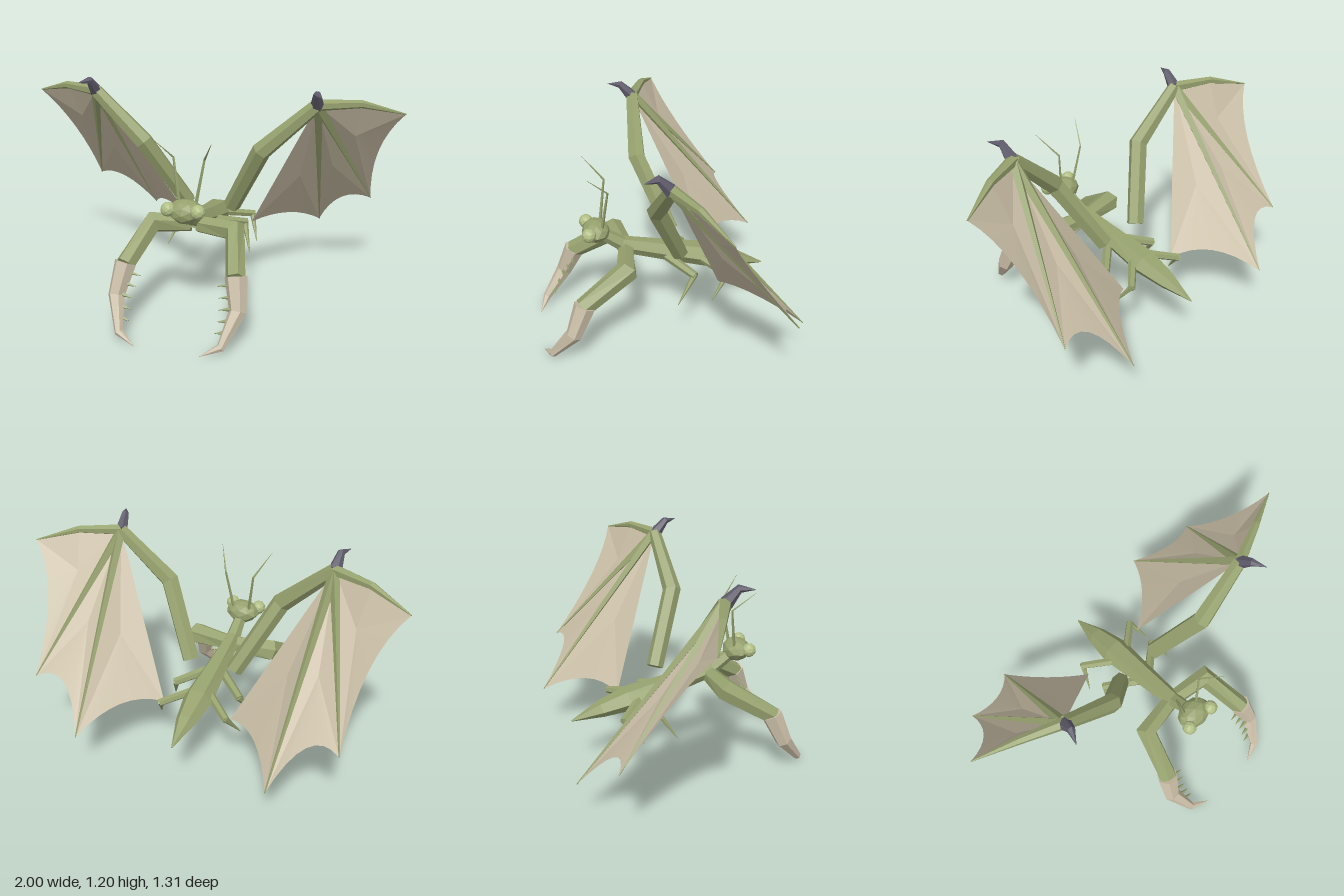
import * as THREE from 'three';

const V = (p) => new THREE.Vector3(...p);
const flat = (color, name, extra = {}) =>
  Object.assign(new THREE.MeshStandardMaterial({ color, flatShading: true, ...extra }), { name });

function soup(points) {
  const g = new THREE.BufferGeometry().setFromPoints(points);
  g.computeVertexNormals();
  return g;
}

// Faceted limb through a path; each radius is a number or a [wide, high] pair
function limb(path, radii, sides = 6) {
  const pts = path.map(V);
  const n = new THREE.Vector3(1, 0, 0);
  const rings = pts.map((p, i) => {
    const t = new THREE.Vector3();
    if (i > 0) t.add(p.clone().sub(pts[i - 1]).normalize());
    if (i < pts.length - 1) t.add(pts[i + 1].clone().sub(p).normalize());
    t.normalize();
    if (i === 0 && Math.abs(t.x) > 0.8) n.set(0, 1, 0);
    n.addScaledVector(t, -n.dot(t)).normalize();
    const b = t.clone().cross(n);
    const [rn, rb] = [radii[i]].flat().length === 2 ? radii[i] : [radii[i], radii[i]];
    return Array.from({ length: sides }, (_, j) => {
      const a = (j / sides) * Math.PI * 2;
      return p.clone().addScaledVector(n, Math.cos(a) * rn).addScaledVector(b, Math.sin(a) * rb);
    });
  });
  const tris = [];
  const last = rings.length - 1;
  for (let j = 0; j < sides; j++) {
    const k = (j + 1) % sides;
    tris.push(pts[0], rings[0][k], rings[0][j], pts[last], rings[last][j], rings[last][k]);
    for (let i = 0; i < last; i++) {
      const [a, b] = [rings[i], rings[i + 1]];
      tris.push(a[j], a[k], b[k], a[j], b[k], b[j]);
    }
  }
  return soup(tris);
}

// Membrane panel: a fan from a slightly sagging centre, with a scalloped outer edge
function panel(root, a, b, pull, knuckle) {
  const [w, A, B] = [root, a, b].map(V);
  const control = A.clone().lerp(B, 0.5).lerp(w, pull);
  const edge = new THREE.QuadraticBezierCurve3(A, control, B).getPoints(8);
  const loop = [w, ...(knuckle ? [V(knuckle)] : []), ...edge];
  const normal = A.clone().sub(w).cross(B.clone().sub(w)).normalize();
  if (normal.y > 0) normal.negate();
  const centre = w.clone().lerp(edge[4], 0.6).addScaledVector(normal, 0.015);
  return soup(loop.flatMap((p, i) => [centre, p, loop[(i + 1) % loop.length]]));
}

export function createModel() {
  const green = flat(0x96a16e, 'leaf green');
  const eyeGreen = flat(0xb2bf86, 'pale eye green');
  const bone = flat(0xcbbfa8, 'bone');
  const skin = flat(0xc8bda5, 'wing skin', { side: THREE.DoubleSide });
  const horn = flat(0x5f5b6b, 'dark horn');

  const model = new THREE.Group();
  model.name = 'wingedMantis';
  const add = (parent, name, geometry, material) => {
    const mesh = new THREE.Mesh(geometry, material);
    mesh.name = name;
    parent.add(mesh);
    return mesh;
  };

  // Body, neck and head
  add(model, 'body', limb(
    [[0, 0.52, 0.21], [0, 0.46, -0.03], [0, 0.405, -0.27], [0, 0.365, -0.42], [0, 0.315, -0.585]],
    [[0.042, 0.045], [0.06, 0.055], [0.08, 0.065], [0.055, 0.045], 0.003]), green);
  add(model, 'neck', limb([[0, 0.51, 0.18], [0, 0.6, 0.31]], [0.042, 0.032]), green);
  const skull = new THREE.IcosahedronGeometry(1, 1);
  const pos = skull.attributes.position;
  for (let i = 0; i < pos.count; i++) // narrower chin
    if (pos.getY(i) < -0.1) pos.setX(i, pos.getX(i) * (1 + 0.35 * pos.getY(i)));
  skull.scale(0.095, 0.064, 0.074);
  skull.translate(0, 0.613, 0.335);
  skull.computeVertexNormals();
  add(model, 'head', skull, green);

  for (const s of [1, -1]) {
    const side = new THREE.Group();
    side.name = s > 0 ? 'leftSide' : 'rightSide';
    model.add(side);
    const m = (p) => [s * p[0], p[1], p[2]];
    const part = (name, path, radii, material = green, sides = 6) =>
      add(side, name, limb(path.map(m), radii, sides), material);

    // Eye and antenna
    add(side, 'eye', new THREE.IcosahedronGeometry(0.038, 1), eyeGreen)
      .position.set(s * 0.077, 0.633, 0.378);
    part('antenna', [[0.045, 0.65, 0.305], [0.08, 0.87, 0.275], [0.145, 0.982, 0.38]],
      [0.009, 0.006, 0.001], green, 4);

    // Grasping arm with hooked blade
    part('graspingArm', [[0.02, 0.49, 0.18], [0.22, 0.485, 0.205], [0.288, 0.335, 0.445]],
      [0.045, 0.061, 0.05]);
    part('armBlade', [[0.288, 0.345, 0.435], [0.315, 0.19, 0.5], [0.262, 0.045, 0.612], [0.165, 0.004, 0.655]],
      [0.058, 0.044, 0.022, 0.001], bone);
    for (let i = 0; i < 5; i++) { // inner spines
      const f = i / 4;
      const [x, y, z] = [0.265 + 0.015 * Math.sin(f * 3), 0.3 - 0.2 * f, 0.45 + 0.11 * f];
      part('bladeSpine', [[x, y, z], [x - 0.065 + 0.015 * f, y - 0.01, z + 0.005]], [0.013, 0.001], green, 4);
    }

    // Two small walking legs
    part('middleThigh', [[0.04, 0.44, -0.04], [0.19, 0.392, -0.165]], [0.026, 0.022]);
    part('middleShin', [[0.18, 0.4, -0.165], [0.235, 0.25, -0.065]], [0.019, 0.002]);
    part('rearThigh', [[0.03, 0.42, -0.21], [0.19, 0.375, -0.345]], [0.024, 0.02]);
    part('rearShin', [[0.18, 0.385, -0.345], [0.23, 0.25, -0.248]], [0.018, 0.002]);

    // Wing arm, thumb claw, fingers and membrane
    const wrist = [0.585, 1.125, 0.045];
    const knuckle = [0.79, 1.125, -0.04];
    const tips = [[1, 1.067, -0.135], [0.825, 0.478, -0.515], [0.52, 0.265, -0.655]];
    const inner = [0.19, 0.345, -0.29];
    part('wingArm', [[0.125, 0.51, -0.09], [0.315, 0.875, 0.065], wrist], [0.046, 0.05, 0.035]);
    part('thumbClaw', [[0.585, 1.125, 0.05], [0.592, 1.19, 0.11], [0.622, 1.188, 0.175]],
      [0.034, 0.02, 0.001], horn);
    part('leadingFinger', [wrist, knuckle, tips[0]], [0.03, 0.02, 0.003]);
    for (const tip of tips.slice(1)) part('wingFinger', [wrist, tip], [0.028, 0.003], green, 4);
    const membrane = (a, b, pull, k) =>
      add(side, 'wingMembrane', panel(m(wrist), m(a), m(b), pull, k && m(k)), skin);
    membrane(tips[0], tips[1], 0.28, knuckle);
    membrane(tips[1], tips[2], 0.26);
    membrane(tips[2], inner, 0.16);
  }
  return model;
}
